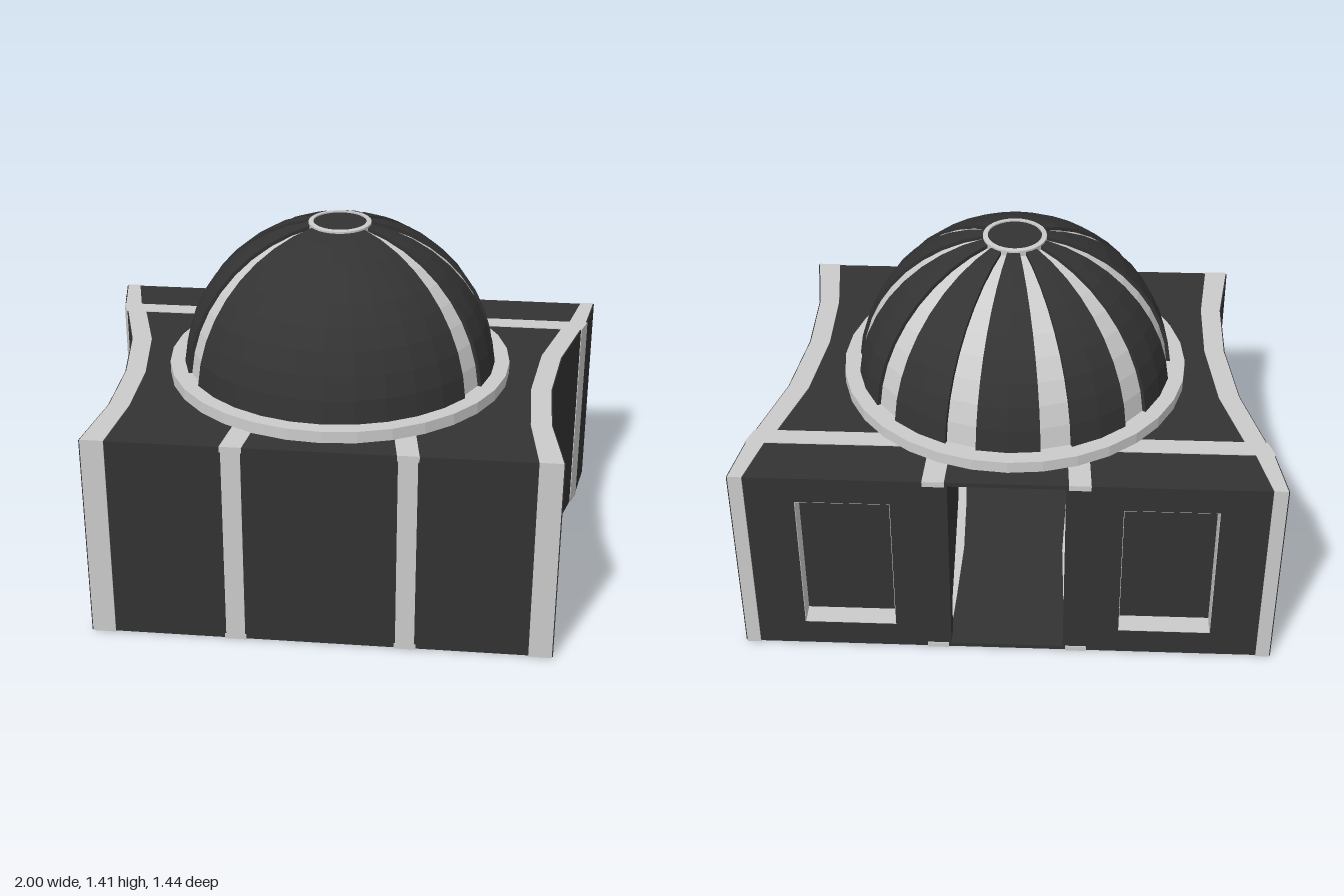
import * as THREE from 'three';

const rad = THREE.MathUtils.degToRad;
const grey = new THREE.MeshStandardMaterial({ color: 0xcccccc, flatShading: true, side: THREE.DoubleSide });
const dark = new THREE.MeshStandardMaterial({ color: 0x333333, flatShading: true, side: THREE.DoubleSide });

// Plan lines as [x, z], back to front, for the +x half
const OUTER = [[1, -0.72], [0.965, -0.515], [0.94, -0.44], [0.86, -0.16], [0.82, 0.14], [0.82, 0.43], [0.862, 0.72]];
const INNER = [[0.945, -0.72], [0.895, -0.515], [0.86, -0.44], [0.78, -0.17], [0.74, 0.14], [0.74, 0.43], [0.772, 0.72]];
const RIB = [[0.262, -0.72], [0.25, -0.47], [0.24, -0.17], [0.25, 0.14], [0.275, 0.43], [0.316, 0.72]];
const HALL = [[0.212, -0.72], [0.225, -0.5], [0.235, -0.17], [0.245, 0.14], [0.255, 0.3]];
const H = 0.81, INSET = 0.003;

const shift = (line, dx) => line.map(([x, z]) => [x + dx, z]);
const trim = (line) => line.map(([x, z]) => [x, THREE.MathUtils.clamp(z, -0.72 + INSET, 0.72 - INSET)]);
const band = (a, b) => [...a, ...[...b].reverse()];
const flip = (line) => line.map(([x, z]) => [-x, z]);

function add(group, name, geometry, material) {
  const mesh = new THREE.Mesh(geometry, material);
  mesh.name = name;
  group.add(mesh);
  return mesh;
}

// Upright prism over a plan polygon
function prism(plan, y0, y1) {
  const shape = new THREE.Shape(plan.map(([x, z]) => new THREE.Vector2(x, -z)));
  const g = new THREE.ExtrudeGeometry(shape, { depth: y1 - y0, bevelEnabled: false });
  return g.rotateX(-Math.PI / 2).translate(0, y0, 0);
}

function box(x0, x1, y0, y1, z0, z1) {
  return new THREE.BoxGeometry(x1 - x0, y1 - y0, z1 - z0)
    .translate((x0 + x1) / 2, (y0 + y1) / 2, (z0 + z1) / 2);
}

function rect(Type, x0, x1, y0, y1) {
  return new Type([[x0, y0], [x1, y0], [x1, y1], [x0, y1]].map((p) => new THREE.Vector2(...p)));
}

function buildBody() {
  const body = new THREE.Group();
  body.name = 'body';
  const full = trim(band(OUTER, flip(OUTER)));
  add(body, 'floor', prism(full, INSET, 0.02), dark);
  add(body, 'roof', prism(full, 0.79, H - INSET), dark);

  // Solid core, with the open hall running in from the back
  const cut = (line) => line.map(([x, z]) => [x, Math.max(z, -0.635)]);
  const core = [...cut(trim(shift(OUTER, -0.01))), ...cut(flip(trim(shift(OUTER, -0.01)))).reverse(),
    ...cut(flip(HALL)), ...cut(HALL).reverse()];
  add(body, 'core', prism(core, 0.02, 0.79), dark);

  for (const s of [1, -1]) {
    const side = (line) => (s > 0 ? line : flip(line));
    const sided = (x0, x1, ...rest) => box(Math.min(s * x0, s * x1), Math.max(s * x0, s * x1), ...rest);

    // Flared side wall: grey edge with a dark outer skin
    add(body, 'sideWall', prism(side(band(shift(OUTER, -0.004), INNER)), 0, H), grey);
    add(body, 'sideSkin', prism(side(trim(band(OUTER, shift(OUTER, -0.007)))), INSET, H - INSET), dark);
    add(body, 'crossWallEnd', prism(side([[0.88, -0.515], [0.968, -0.515], [0.943, -0.44], [0.86, -0.44]]), 0, H), grey);

    // Long ribs on floor, roof and front
    const rib = side(band(shift(RIB, 0.04), shift(RIB, -0.04)));
    add(body, 'floorRib', prism(rib, 0, 0.022), grey);
    add(body, 'roofRib', prism(rib, 0.788, H), grey);
    add(body, 'frontRib', sided(0.28, 0.351, 0, H, 0.7, 0.72), grey);

    // Back panel with a framed niche
    const [a, b] = [0.212, 0.96].map((x) => x * s);
    const [c, d] = [0.42, 0.765].map((x) => x * s);
    const panel = rect(THREE.Shape, a, b, 0.01, 0.8);
    panel.holes.push(rect(THREE.Path, c, d, 0.11, 0.7));
    add(body, 'backPanel', new THREE.ExtrudeGeometry(panel, { depth: 0.083, bevelEnabled: false })
      .translate(0, 0, -0.717), dark);
    const frame = rect(THREE.Shape, c - s * 0.01, d + s * 0.01, 0.1, 0.71);
    frame.holes.push(rect(THREE.Path, c + s * 0.002, d - s * 0.002, 0.112, 0.698));
    add(body, 'nicheReveal', new THREE.ExtrudeGeometry(frame, { depth: 0.08, bevelEnabled: false })
      .translate(0, 0, -0.7165), grey);
  }

  // Cross rib on floor and roof
  const cross = [[0.95, -0.515], [0.93, -0.44], [-0.93, -0.44], [-0.95, -0.515]];
  add(body, 'floorCrossRib', prism(cross, 0, 0.018), grey);
  add(body, 'roofCrossRib', prism(cross, 0.792, H), grey);
  return body;
}

// Dome profile from base to crown
function arc(r) {
  return Array.from({ length: 10 }, (_, i) => {
    const t = rad(85.7 - (85.7 - 10.5) * i / 9);
    return new THREE.Vector2(r * Math.sin(t), H + r * Math.cos(t));
  });
}

function buildDome() {
  const dome = new THREE.Group();
  dome.name = 'dome';
  add(dome, 'baseRing', new THREE.CylinderGeometry(0.655, 0.655, 0.045, 32).translate(0, 0.8325, 0), grey);
  add(dome, 'innerShell', new THREE.LatheGeometry(arc(0.586), 32, rad(-56.25)), grey);

  // Raised dark gores: one wide at the front, seven narrow round the back
  const gores = [[-56.25, 112.5]];
  for (let k = 0; k < 7; k++) gores.push([67.5 + 33.75 * k, 22.5]);
  const edge = new THREE.Shape([...arc(0.6), ...arc(0.58).reverse()]);
  for (const [start, length] of gores) {
    add(dome, 'gore', new THREE.LatheGeometry(arc(0.6), length / 11.25, rad(start), rad(length)), dark);
    for (const phi of [start, start + length]) {
      add(dome, 'goreEdge', new THREE.ShapeGeometry(edge).rotateY(rad(phi - 90)), dark);
    }
  }

  // Crown
  const rim = [[0.118, 1.38], [0.118, 1.405], [0.1, 1.407], [0.1, 1.38]].map((p) => new THREE.Vector2(...p));
  add(dome, 'crownRing', new THREE.LatheGeometry(rim, 32), grey);
  add(dome, 'crownDisc', new THREE.CylinderGeometry(0.102, 0.102, 0.02, 32).translate(0, 1.392, 0), dark);
  return dome;
}

export function createModel() {
  const model = new THREE.Group();
  model.name = 'domedBuilding';
  model.add(buildBody(), buildDome());
  return model;
}
